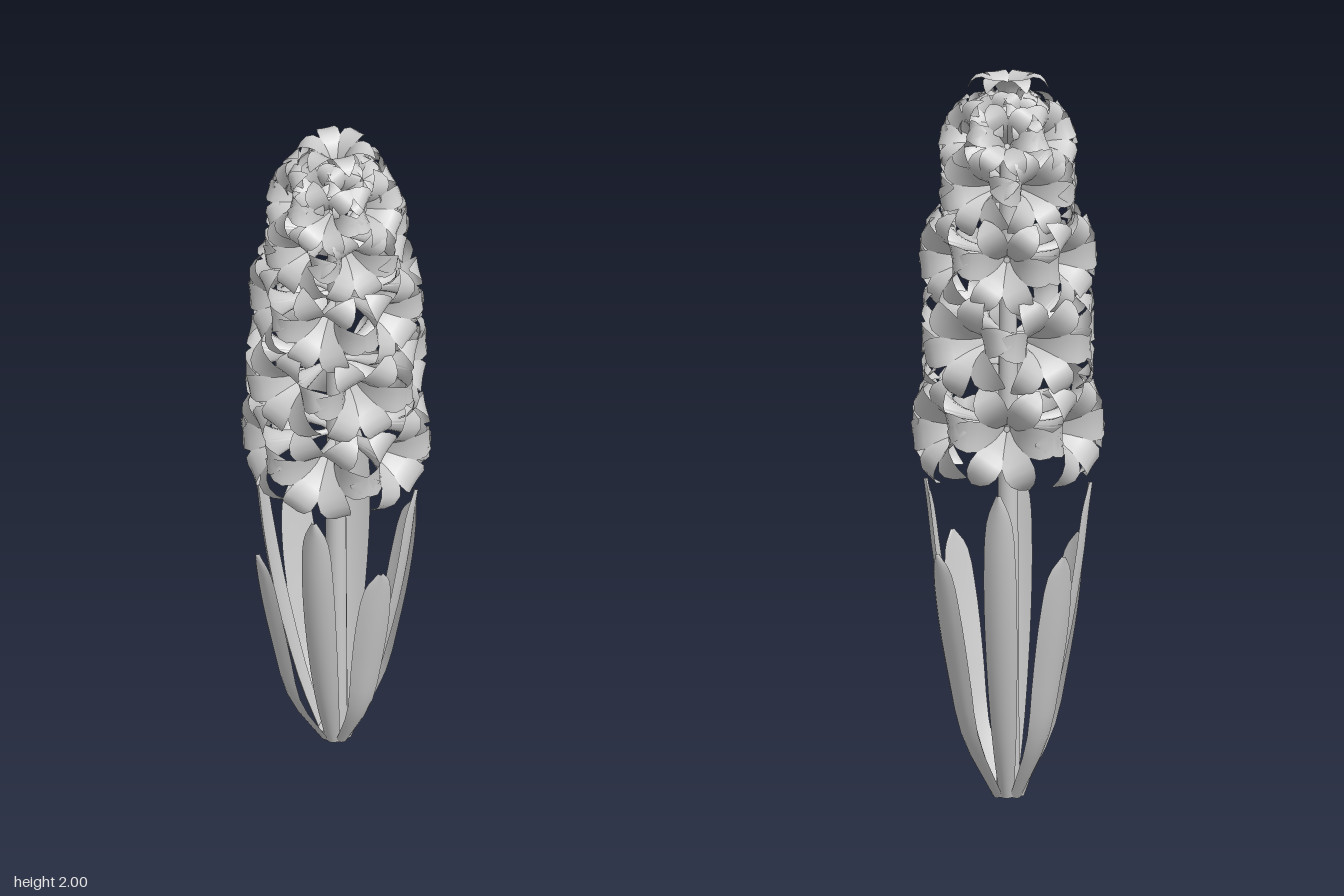
import * as THREE from 'three';

const material = new THREE.MeshStandardMaterial({ color: 0xcccccc, roughness: 0.8 });

// Thin lens-section blade swept along a profile of [halfWidth, height, radius].
// Its inner and outer skins meet at sharp edges; bend cups it toward the axis.
function blade(profile, rows, cols, thickness, bend) {
  const curve = new THREE.CatmullRomCurve3(profile.map((p) => new THREE.Vector3(...p)));
  const pos = [], idx = [];
  for (const side of [1, -1]) {
    const start = pos.length / 3;
    for (let i = 0; i <= rows; i++) {
      const p = curve.getPoint(i / rows), d = curve.getTangent(i / rows);
      const len = Math.hypot(d.y, d.z), ny = d.z / len, nz = -d.y / len;
      for (let j = 0; j <= cols; j++) {
        const u = (2 * j) / cols - 1;
        const off = bend * p.x * u * u + (side * thickness * (1 - u * u)) / 2;
        pos.push(p.x * u, p.y + ny * off, p.z + nz * off);
      }
    }
    for (let i = 0; i < rows; i++) {
      for (let j = 0; j < cols; j++) {
        const a = start + i * (cols + 1) + j, b = a + 1, c = a + cols + 1, e = c + 1;
        if (side > 0) idx.push(a, c, b, b, c, e);
        else idx.push(a, b, c, b, e, c);
      }
    }
  }
  const g = new THREE.BufferGeometry();
  g.setAttribute('position', new THREE.Float32BufferAttribute(pos, 3));
  g.setIndex(idx);
  g.computeVertexNormals();
  return g;
}

function add(parent, geometry, name) {
  const m = new THREE.Mesh(geometry, material);
  m.name = name;
  parent.add(m);
  return m;
}

const REACH = 0.182; // length of a full-size floret along its axis

const petalGeometry = blade([
  [0.006, 0, 0.006], [0.012, 0.06, 0.018], [0.02, 0.11, 0.029], [0.033, 0.153, 0.053],
  [0.043, 0.178, 0.09], [0.032, 0.172, 0.127], [0.003, 0.138, 0.152],
], 10, 4, 0.004, 0.12);
const pedicelGeometry = new THREE.CylinderGeometry(0.009, 0.009, 1, 8).translate(0, 0.5, 0);

// Six-petalled trumpet opening along +y, its mouth at the given distance
function makeFloret(distance, scale, roll) {
  const floret = new THREE.Group();
  floret.name = 'floret';
  const base = distance - REACH * scale;
  const trumpet = new THREE.Group();
  trumpet.name = 'trumpet';
  trumpet.position.y = base;
  trumpet.rotation.y = roll;
  trumpet.scale.setScalar(scale);
  for (let k = 0; k < 6; k++) {
    add(trumpet, petalGeometry, 'petal').rotation.y = ((k + 0.5) * Math.PI) / 3;
  }
  add(floret, pedicelGeometry, 'pedicel').scale.y = base + 0.03 * scale;
  floret.add(trumpet);
  return floret;
}

export function createModel() {
  const model = new THREE.Group();
  model.name = 'flowerSpike';

  // Stem
  add(model, new THREE.CylinderGeometry(0.022, 0.032, 1.88, 16).translate(0, 0.94, 0), 'stem');
  add(model, new THREE.CylinderGeometry(0.05, 0.042, 0.03, 16).translate(0, 0.015, 0), 'stemBase');

  // Tall leaves on the axes, short ones on the diagonals
  const tall = blade([
    [0.02, 0, 0.038], [0.034, 0.18, 0.1], [0.044, 0.45, 0.165], [0.044, 0.66, 0.2],
    [0.034, 0.8, 0.216], [0.006, 0.875, 0.226],
  ], 14, 6, 0.012, 0.25);
  const short = blade([
    [0.02, 0, 0.038], [0.038, 0.17, 0.138], [0.05, 0.36, 0.185], [0.052, 0.52, 0.217],
    [0.038, 0.65, 0.238], [0.006, 0.7, 0.246],
  ], 14, 6, 0.012, 0.25);
  for (let k = 0; k < 8; k++) {
    add(model, k % 2 ? short : tall, k % 2 ? 'shortLeaf' : 'tallLeaf').rotation.y = (k * Math.PI) / 4;
  }

  // Staggered rings of six florets: [height, reach, scale, upward tilt]
  const rings = [
    [1.03, 0.233, 1.04, 0], [1.28, 0.231, 1.0, 0], [1.5, 0.216, 0.94, 0],
    [1.7, 0.18, 0.86, 0], [1.79, 0.172, 0.72, 0.38], [1.825, 0.13, 0.54, 0.72],
  ];
  rings.forEach(([y, reach, scale, tilt], i) => {
    const ring = new THREE.Group();
    ring.name = 'floretRing';
    ring.position.y = y;
    for (let k = 0; k < 6; k++) {
      // Opposite florets share the same slight roll
      const floret = makeFloret(reach, scale, 0.18 * ((k % 3) - 1) + 0.08);
      floret.rotation.set(Math.PI / 2 - tilt, ((k + (i % 2) / 2) * Math.PI) / 3 + 0.08, 0, 'YXZ');
      ring.add(floret);
    }
    model.add(ring);
  });

  // Crowning floret facing straight up
  const crown = makeFloret(0.15, 0.72, 0.08);
  crown.name = 'crownFloret';
  crown.position.y = 1.848;
  model.add(crown);
  return model;
}
